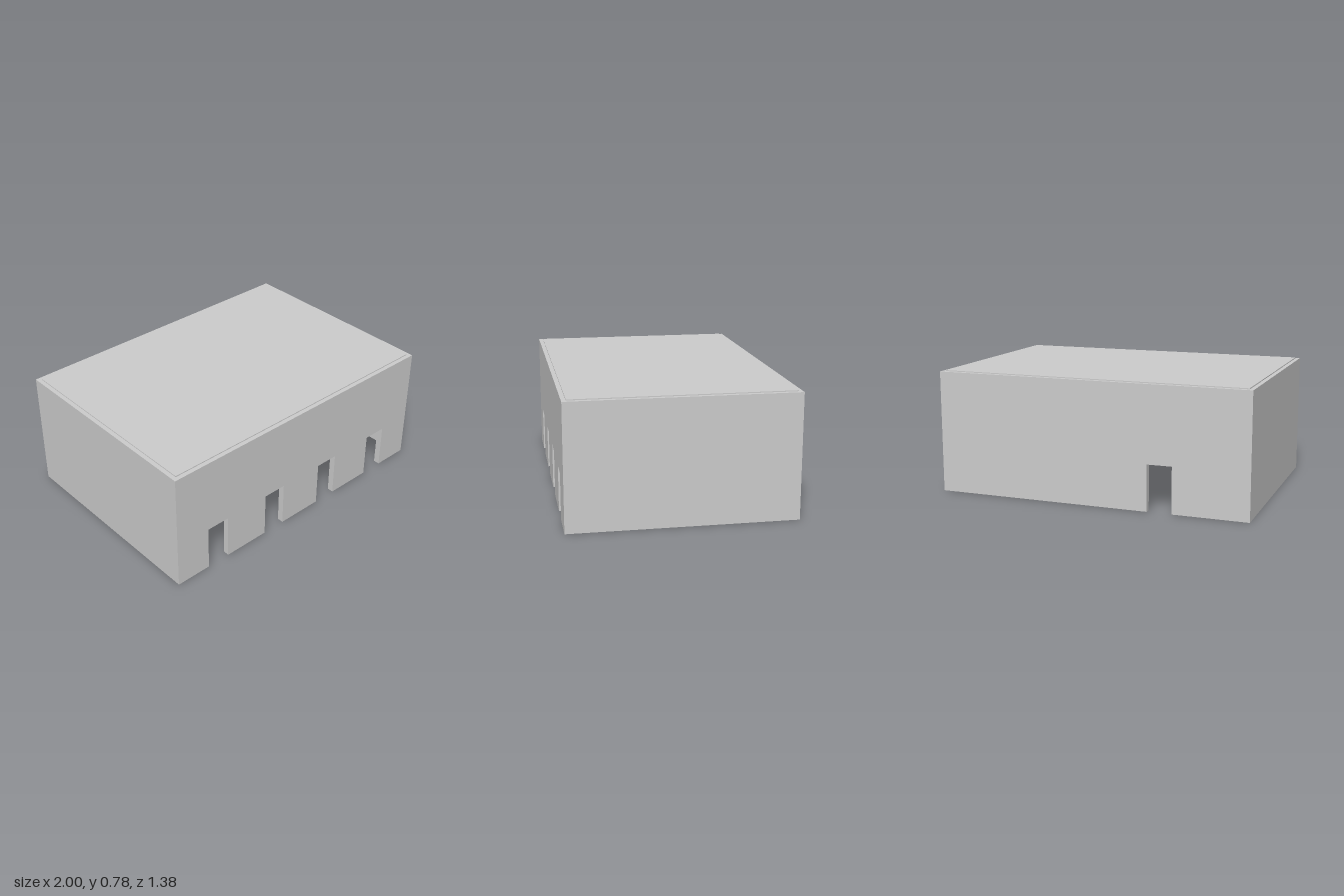
import * as THREE from 'three';

const W = 2, D = 1.385, H = 0.77;   // outer size of the walls
const T = 0.04;                     // wall thickness
const CEILING = 0.45;               // underside of the upper block
const DOOR_W = 0.155, DOOR_H = 0.29;

export function createModel() {
  const group = new THREE.Group();
  const material = new THREE.MeshStandardMaterial({ color: 0xcccccc, flatShading: true });

  const add = (name, geometry, x, y, z) => {
    const mesh = new THREE.Mesh(geometry, material);
    mesh.name = name;
    mesh.position.set(x, y, z);
    group.add(mesh);
  };

  // Long wall whose lower edge is notched by door openings
  const notchedWall = (doorCentres) => {
    const s = new THREE.Shape();
    s.moveTo(-W / 2, 0);
    for (const c of doorCentres) {
      s.lineTo(c - DOOR_W / 2, 0);
      s.lineTo(c - DOOR_W / 2, DOOR_H);
      s.lineTo(c + DOOR_W / 2, DOOR_H);
      s.lineTo(c + DOOR_W / 2, 0);
    }
    s.lineTo(W / 2, 0);
    s.lineTo(W / 2, H);
    s.lineTo(-W / 2, H);
    s.closePath();
    return new THREE.ExtrudeGeometry(s, { depth: T, bevelEnabled: false });
  };

  // Front wall with four doors, back wall with one
  add('frontWall', notchedWall([-0.69, -0.23, 0.23, 0.69]), 0, 0, D / 2 - T);
  add('backWall', notchedWall([-0.45]), 0, 0, -D / 2);

  // Plain side walls
  for (const [name, side] of [['leftWall', 1], ['rightWall', -1]]) {
    add(name, new THREE.BoxGeometry(T, H, D - 2 * T), side * (W - T) / 2, H / 2, 0);
  }

  // Upper block closing the space above the ceiling
  add('upperBlock', new THREE.BoxGeometry(W - 2 * T, H - CEILING, D - 2 * T), 0, (H + CEILING) / 2, 0);

  // Thin roof panel, set in from the wall edges
  const inset = 0.027, rise = 0.006;
  add('roofPanel', new THREE.BoxGeometry(W - 2 * inset, rise, D - 2 * inset), 0, H + rise / 2, 0);

  return group;
}
